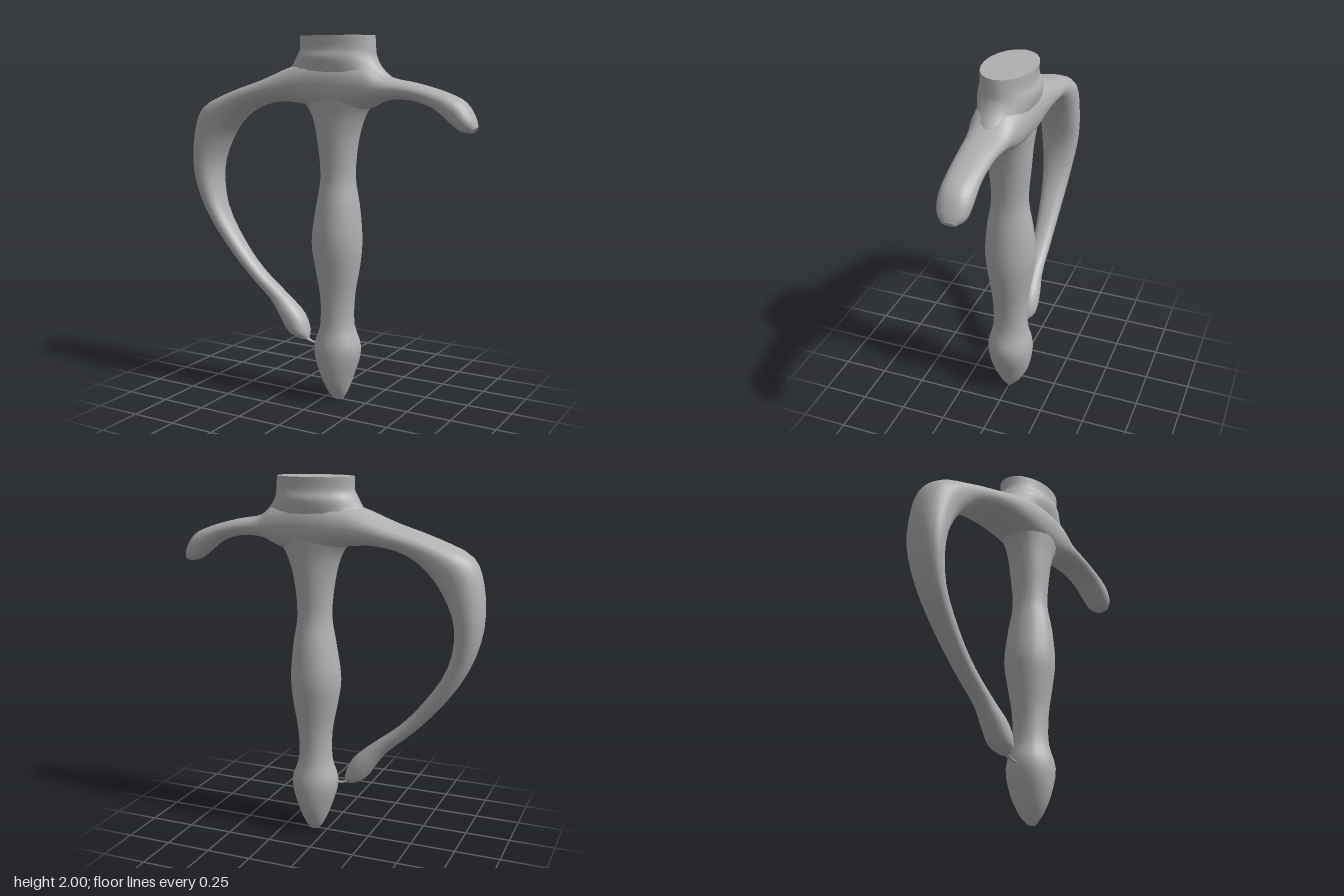
import * as THREE from 'three';

const AROUND = 20;

// Smooth closed loft. Each section is [x1, y1, x2, y2, halfDepth]: two opposite
// edge points in the front plane, and the half depth in z.
function loft(sections, steps, power = 1) {
  const edgeA = new THREE.CatmullRomCurve3(sections.map(s => new THREE.Vector3(s[0], s[1], s[4])));
  const edgeB = new THREE.CatmullRomCurve3(sections.map(s => new THREE.Vector3(s[2], s[3], 0)));
  const count = (sections.length - 1) * steps;
  const pos = [], index = [];
  const soft = v => Math.sign(v) * Math.pow(Math.abs(v), power);
  const ring = i => {
    const a = edgeA.getPoint(i / count), b = edgeB.getPoint(i / count);
    const cx = (a.x + b.x) / 2, cy = (a.y + b.y) / 2;
    const points = [];
    for (let j = 0; j < AROUND; j++) {
      const t = j / AROUND * Math.PI * 2, c = soft(Math.cos(t)), s = soft(Math.sin(t));
      points.push([cx + (a.x - cx) * c, cy + (a.y - cy) * c, a.z * s]);
    }
    return { points, centre: [cx, cy, 0] };
  };
  for (let i = 0; i <= count; i++) {
    pos.push(...ring(i).points.flat());
    if (i === count) break;
    for (let j = 0; j < AROUND; j++) {
      const k = (j + 1) % AROUND, p = i * AROUND, q = p + AROUND;
      index.push(p + j, p + k, q + j, p + k, q + k, q + j);
    }
  }
  // End caps with their own vertices, so their rims stay crisp
  for (const i of [0, count]) {
    const { points, centre } = ring(i), base = pos.length / 3;
    pos.push(...points.flat(), ...centre);
    for (let j = 0; j < AROUND; j++) {
      const k = (j + 1) % AROUND, m = base + AROUND;
      if (i === 0) index.push(m, base + k, base + j);
      else index.push(m, base + j, base + k);
    }
  }
  const geo = new THREE.BufferGeometry();
  geo.setAttribute('position', new THREE.Float32BufferAttribute(pos, 3));
  geo.setIndex(index);
  geo.computeVertexNormals();
  return geo;
}

// Level section of an upright part: height, left edge, right edge, half depth
const level = (y, x1, x2, depth) => [x2, y, x1, y, depth];

export function createModel() {
  const group = new THREE.Group();
  const metal = new THREE.MeshStandardMaterial({ color: 0xb0b0b0 });
  metal.name = 'grey metal';
  const add = (name, geo) => {
    const mesh = new THREE.Mesh(geo, metal);
    mesh.name = name;
    group.add(mesh);
  };

  // Oval collar, widening down into the guard
  add('collar', loft([
    level(2.0, -0.15, 0.28, 0.135),
    level(1.93, -0.15, 0.285, 0.135),
    level(1.89, -0.17, 0.29, 0.15),
    level(1.84, -0.2, 0.32, 0.145),
    level(1.77, -0.28, 0.39, 0.12),
    level(1.72, -0.28, 0.38, 0.08),
  ], 3));

  // Grip: flared throat, swollen middle and pointed pommel
  add('grip', loft([
    level(1.86, -0.05, 0.18, 0.13),
    level(1.74, -0.2, 0.34, 0.135),
    level(1.65, -0.12, 0.27, 0.13),
    level(1.58, -0.075, 0.225, 0.122),
    level(1.45, -0.04, 0.185, 0.113),
    level(1.25, -0.022, 0.168, 0.1),
    level(1.1, -0.045, 0.19, 0.125),
    level(0.9, -0.073, 0.207, 0.14),
    level(0.76, -0.055, 0.195, 0.122),
    level(0.6, -0.025, 0.168, 0.1),
    level(0.43, -0.025, 0.165, 0.1),
    level(0.3, -0.06, 0.205, 0.13),
    level(0.15, -0.02, 0.165, 0.11),
    level(0.05, 0.02, 0.13, 0.06),
    level(0.005, 0.05, 0.105, 0.02),
  ], 3));

  // Guard: knuckle bow from its lower knob, up and across to the short arm
  add('guard', loft([
    [-0.17, 0.322, -0.115, 0.325, 0.03],
    [-0.235, 0.36, -0.115, 0.365, 0.065],
    [-0.3, 0.455, -0.15, 0.455, 0.07],
    [-0.36, 0.53, -0.25, 0.55, 0.055],
    [-0.5, 0.655, -0.42, 0.685, 0.055],
    [-0.66, 0.83, -0.55, 0.83, 0.065],
    [-0.79, 1.03, -0.68, 1.04, 0.085],
    [-0.855, 1.25, -0.71, 1.25, 0.112],
    [-0.845, 1.48, -0.645, 1.42, 0.118],
    [-0.79, 1.61, -0.56, 1.53, 0.122],
    [-0.6, 1.7, -0.45, 1.61, 0.122],
    [-0.38, 1.77, -0.29, 1.65, 0.14],
    [-0.17, 1.85, -0.12, 1.64, 0.148],
    [0.06, 1.9, 0.06, 1.6, 0.15],
    [0.28, 1.855, 0.25, 1.62, 0.13],
    [0.37, 1.79, 0.35, 1.665, 0.11],
    [0.52, 1.76, 0.49, 1.672, 0.092],
    [0.7, 1.71, 0.63, 1.63, 0.085],
    [0.79, 1.665, 0.72, 1.56, 0.085],
    [0.84, 1.59, 0.78, 1.52, 0.07],
    [0.855, 1.545, 0.83, 1.515, 0.035],
  ], 3, 0.9));

  // Thin sliver joining the bow's knob to the pommel
  add('bowLink', loft([
    [-0.04, 0.31, -0.04, 0.298, 0.01],
    [-0.09, 0.315, -0.09, 0.302, 0.008],
    [-0.15, 0.345, -0.15, 0.325, 0.02],
  ].reverse(), 2));

  return group;
}
